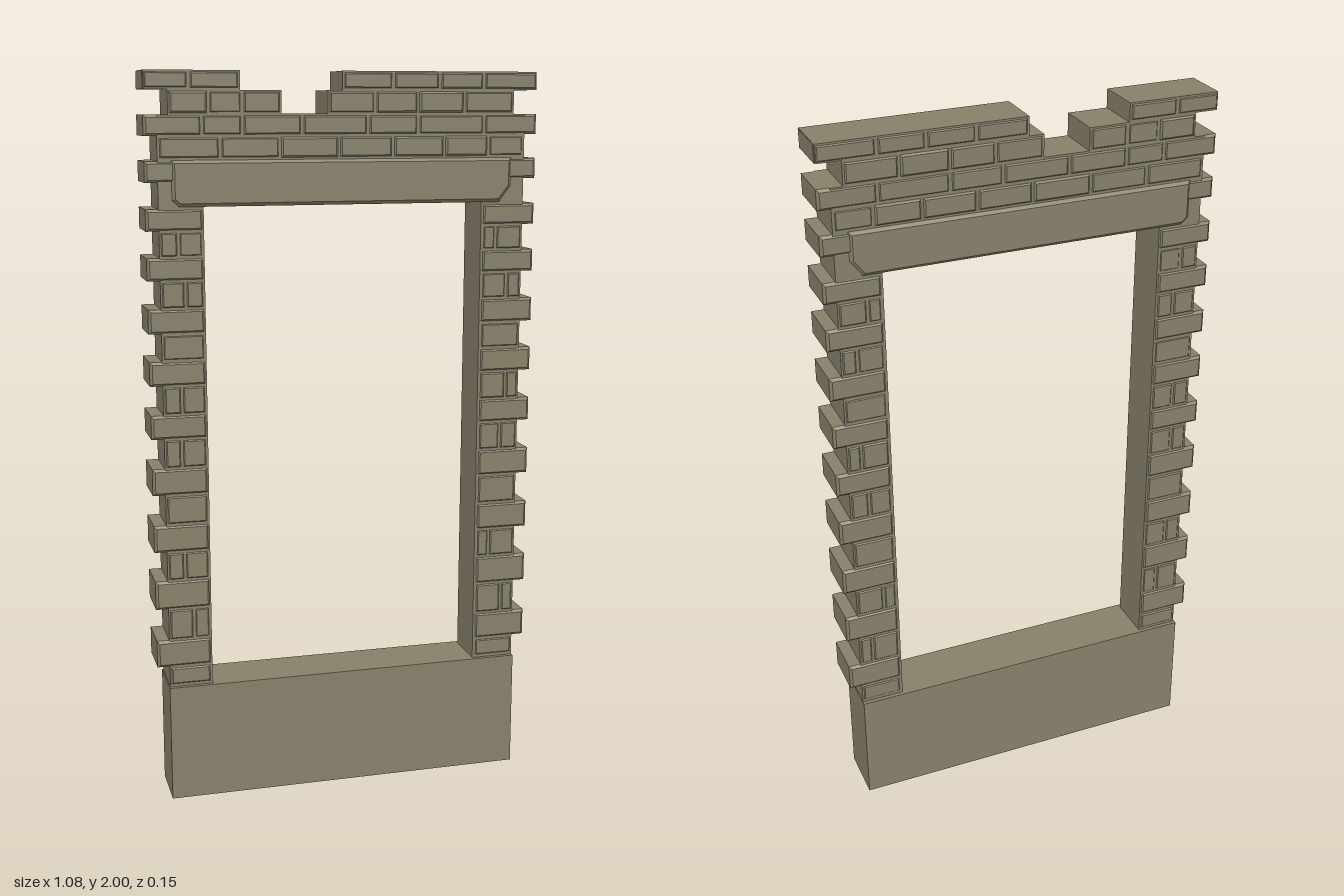
import * as THREE from 'three';

export function createModel() {
  const model = new THREE.Group();
  model.name = 'ruinedStoneDoorway';
  const stone = new THREE.MeshStandardMaterial({ color: 0x87806a });
  stone.name = 'weatheredStone';

  let seed = 7;
  const rand = () => (seed = (seed * 16807) % 2147483647) / 2147483647;

  function add(geometry, name, parent = model) {
    const mesh = new THREE.Mesh(geometry, stone);
    mesh.name = name;
    parent.add(mesh);
    return mesh;
  }

  function block(x0, x1, y0, y1, halfDepth, name) {
    const g = new THREE.BoxGeometry(x1 - x0, y1 - y0, halfDepth * 2);
    g.translate((x0 + x1) / 2, (y0 + y1) / 2, 0);
    return add(g, name);
  }

  // Outline extruded through the wall, with chamfered front and back edges
  function slab(points, halfDepth, bevel, name, parent) {
    const shape = new THREE.Shape(points.map(p => new THREE.Vector2(p[0], p[1])));
    const g = new THREE.ExtrudeGeometry(shape, {
      depth: 2 * (halfDepth - bevel), bevelEnabled: bevel > 0,
      bevelThickness: bevel, bevelSize: bevel, bevelOffset: -bevel, bevelSegments: 1,
    });
    g.translate(0, 0, bevel - halfDepth);
    return add(g, name, parent);
  }

  function brick(x0, x1, y0, y1, halfDepth, name, parent) {
    return slab([[x0, y0], [x1, y0], [x1, y1], [x0, y1]], halfDepth, 0.007, name, parent);
  }

  // Base and the flat core behind the brick faces
  block(-0.508, 0.506, 0, 0.33, 0.077, 'base');
  block(-0.505, -0.386, 0.33, 1.66, 0.0655, 'leftJambCore');
  block(0.384, 0.505, 0.33, 1.66, 0.0655, 'rightJambCore');
  slab([
    [-0.505, 1.657], [0.505, 1.657], [0.505, 1.888], [0.472, 1.888], [0.472, 1.952],
    [0.536, 1.952], [0.536, 2], [-0.01, 2], [-0.01, 1.95], [-0.05, 1.95], [-0.05, 1.89],
    [-0.175, 1.89], [-0.175, 1.95], [-0.285, 1.95], [-0.285, 2], [-0.536, 2],
    [-0.536, 1.952], [-0.475, 1.952], [-0.475, 1.888], [-0.505, 1.888],
  ], 0.0665, 0, 'upperWallCore');

  // Long quoins projecting from the sides, with shorter bricks between
  const quoins = [
    [0.39, 0.466], [0.557, 0.637], [0.72, 0.795], [0.88, 0.953], [1.035, 1.1],
    [1.18, 1.245], [1.32, 1.385], [1.46, 1.52], [1.59, 1.647], [1.715, 1.77],
    [1.834, 1.888],
  ];
  for (const side of [-1, 1]) {
    const group = new THREE.Group();
    group.name = side < 0 ? 'rightQuoins' : 'leftQuoins';
    model.add(group);
    const span = (a, b, y0, y1, d, name) =>
      brick(Math.min(side * a, side * b), Math.max(side * a, side * b), y0, y1, d, name, group);
    let below = 0.333;
    quoins.forEach(([y0, y1], i) => {
      span(0.388, 0.539, y0, y1, 0.0695, 'quoin');
      if (y0 < 1.65) {
        // Joint position and relief vary from course to course
        const joint = 0.42 + rand() * 0.05;
        const relief = 0.0672 + rand() * 0.002;
        if (i % 3 === 0) {
          span(0.389, 0.504, below + 0.002, y0 - 0.002, relief, 'shortBrick');
        } else {
          span(0.389, joint, below + 0.001, y0 - 0.001, relief, 'shortBrick');
          span(joint, 0.504, below + 0.001, y0 - 0.001, 0.0685, 'shortBrick');
        }
      }
      below = y1;
    });
  }

  // Broken brick courses above the opening: height range and joint positions
  const courses = [
    [1.775, 1.832, [-0.503, -0.34, -0.18, -0.02, 0.13, 0.275, 0.4, 0.503]],
    [1.834, 1.888, [-0.388, -0.28, -0.12, 0.06, 0.2, 0.388]],
    [1.89, 1.949, [-0.474, -0.37, -0.28, -0.176]],
    [1.89, 1.949, [-0.049, 0.08, 0.2, 0.33, 0.471]],
    [1.952, 1.999, [-0.539, -0.42, -0.286]],
    [1.952, 1.999, [-0.009, 0.13, 0.26, 0.385, 0.539]],
  ];
  for (const [y0, y1, joints] of courses) {
    for (let i = 0; i + 1 < joints.length; i++) {
      brick(joints[i] + 0.001, joints[i + 1] - 0.001, y0, y1, 0.0685 + rand() * 0.003, 'wallBrick');
    }
  }

  // Lintel with worn, cut corners
  slab([
    [-0.47, 1.668], [-0.45, 1.652], [0.435, 1.652], [0.468, 1.695],
    [0.468, 1.773], [-0.47, 1.773],
  ], 0.0745, 0.009, 'lintel');

  return model;
}
